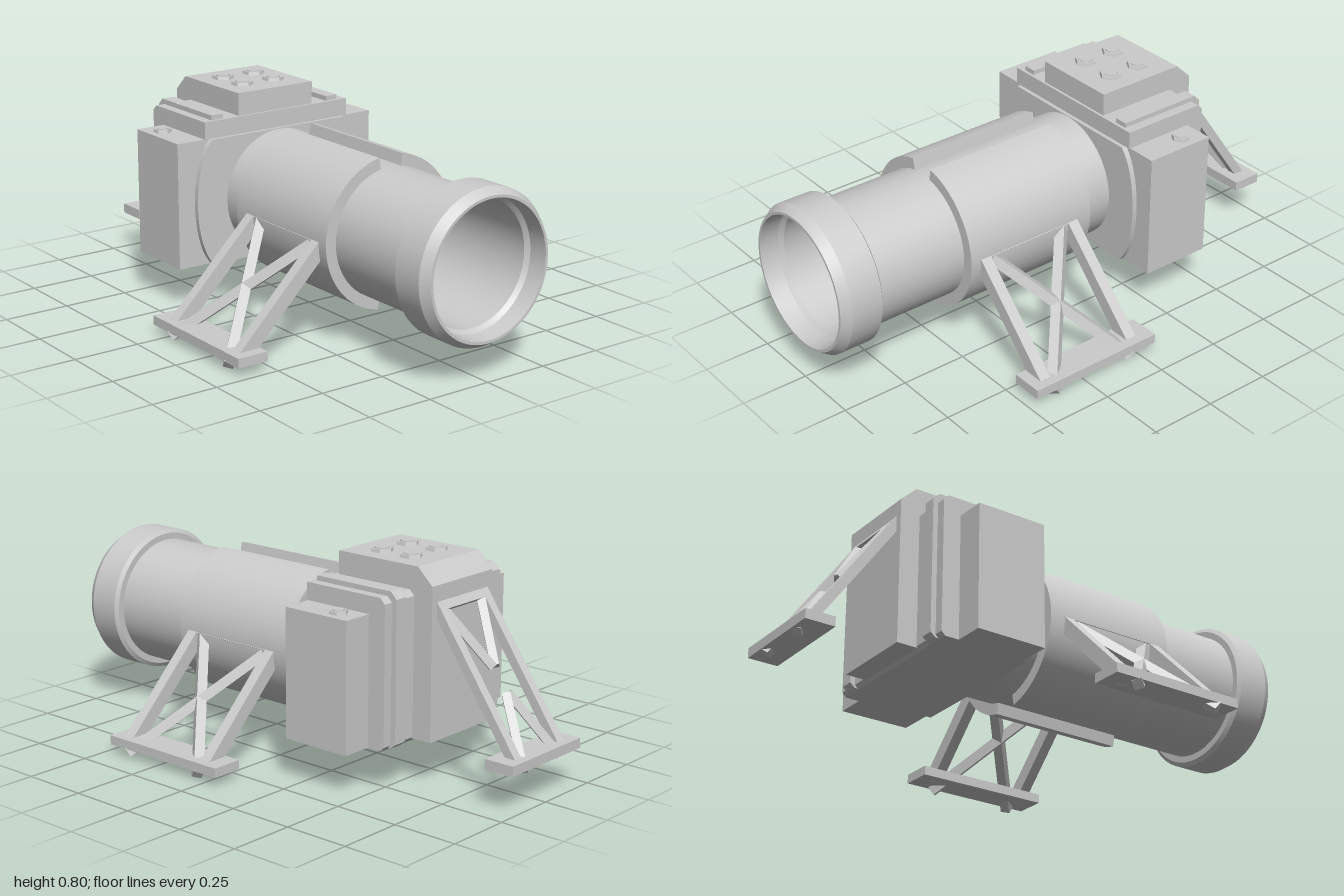
import * as THREE from 'three';
import { toCreasedNormals } from 'three/addons/utils/BufferGeometryUtils.js';

const grey = new THREE.MeshStandardMaterial({ color: 0xcccccc });
const greyDouble = new THREE.MeshStandardMaterial({ color: 0xcccccc, side: THREE.DoubleSide });
const AXIS_Y = 0.4;

export function createModel() {
  const model = new THREE.Group();
  model.name = 'mountedBarrel';

  const add = (name, geometry, x = 0, y = 0, z = 0, material = grey, parent = model) => {
    const mesh = new THREE.Mesh(geometry, material);
    mesh.name = name;
    mesh.position.set(x, y, z);
    parent.add(mesh);
    return mesh;
  };

  // Box given by its limits on each axis
  const block = (name, x0, x1, y0, y1, z0, z1, parent = model) =>
    add(name, new THREE.BoxGeometry(x1 - x0, y1 - y0, z1 - z0),
      (x0 + x1) / 2, (y0 + y1) / 2, (z0 + z1) / 2, grey, parent);

  // Side profile of [z, y] points extruded across x
  const slab = (name, x0, x1, points) => {
    const shape = new THREE.Shape(points.map(([z, y]) => new THREE.Vector2(-z, y)));
    const geometry = new THREE.ExtrudeGeometry(shape, { depth: x1 - x0, bevelEnabled: false });
    geometry.rotateY(Math.PI / 2);
    return add(name, geometry, x0);
  };

  // Square bar between two points; normal sets its roll
  const beam = (name, a, b, width, thick, normal, parent, roll = 0) => {
    const from = new THREE.Vector3(...a), to = new THREE.Vector3(...b);
    const dir = to.clone().sub(from);
    const mesh = add(name, new THREE.BoxGeometry(width, dir.length(), thick), 0, 0, 0, grey, parent);
    const up = dir.normalize();
    const side = up.clone().cross(new THREE.Vector3(...normal)).normalize();
    const out = side.clone().cross(up);
    mesh.quaternion.setFromRotationMatrix(new THREE.Matrix4().makeBasis(side, up, out));
    mesh.rotateY(roll);
    mesh.position.copy(from).add(to).multiplyScalar(0.5);
  };

  // Hollow barrel with its muzzle ring, profile as [radius, z]
  const profile = [
    [0.2375, -0.21], [0.2375, 0.835], [0.262, 0.835], [0.277, 0.845], [0.277, 0.965],
    [0.255, 1.0], [0.245, 1.0], [0.24, 0.93], [0.226, 0.915], [0.226, -0.21],
  ].map(([r, z]) => new THREE.Vector2(r, z));
  const barrel = toCreasedNormals(new THREE.LatheGeometry(profile, 64), 0.5);
  barrel.rotateX(Math.PI / 2);
  add('barrel', barrel, 0, AXIS_Y, 0, greyDouble);

  // Two curved sleeve shells with a slot between them
  const gap = 0.185;
  for (const s of [1, -1]) {
    const mid = s > 0 ? 0 : Math.PI;
    const a0 = mid - Math.PI / 2 + gap, a1 = mid + Math.PI / 2 - gap;
    const shape = new THREE.Shape();
    shape.absarc(0, 0, 0.28, a0, a1, false);
    shape.absarc(0, 0, 0.234, a1, a0, true);
    const shell = new THREE.ExtrudeGeometry(shape, { depth: 0.535, bevelEnabled: false, curveSegments: 32 });
    add(s > 0 ? 'leftSleeve' : 'rightSleeve', toCreasedNormals(shell, 0.5), 0, AXIS_Y, -0.06);
  }

  // Curved flange joining barrel and housing
  const flange = new THREE.Shape();
  flange.moveTo(-0.3, 0.165);
  flange.lineTo(0.3, 0.165);
  flange.bezierCurveTo(0.345, 0.21, 0.367, 0.31, 0.367, 0.4025);
  flange.bezierCurveTo(0.367, 0.495, 0.345, 0.595, 0.3, 0.64);
  flange.lineTo(-0.3, 0.64);
  flange.bezierCurveTo(-0.345, 0.595, -0.367, 0.495, -0.367, 0.4025);
  flange.bezierCurveTo(-0.367, 0.31, -0.345, 0.21, -0.3, 0.165);
  const bore = new THREE.Path();
  bore.absarc(0, AXIS_Y, 0.23, 0, Math.PI * 2, true);
  flange.holes.push(bore);
  const flangeGeometry = new THREE.ExtrudeGeometry(flange, { depth: 0.025, bevelEnabled: false, curveSegments: 24 });
  add('flange', toCreasedNormals(flangeGeometry, 0.5), 0, 0, -0.21);

  // Stepped housing: wide body, middle block, ribs and centre block
  block('housingBody', -0.437, 0.437, 0.165, 0.64, -0.48, -0.205);
  slab('housingMiddle', -0.322, 0.322, [
    [-0.2, 0.64], [-0.2, 0.705], [-0.53, 0.705], [-0.55, 0.685], [-0.55, 0.18], [-0.535, 0.165], [-0.21, 0.165], [-0.21, 0.64],
  ]);
  for (const s of [1, -1]) {
    slab('housingRib', s * 0.26 - 0.025, s * 0.26 + 0.025, [
      [-0.212, 0.4], [-0.212, 0.723], [-0.545, 0.723], [-0.57, 0.698], [-0.57, 0.185], [-0.55, 0.168], [-0.212, 0.168],
    ]);
  }
  slab('centreBlock', -0.167, 0.167, [
    [-0.21, 0.175], [-0.21, 0.79], [-0.565, 0.79], [-0.628, 0.73], [-0.628, 0.175],
  ]);

  // Hexagonal bolts with a raised core
  const bolt = (x, y, z, r) => {
    const group = new THREE.Group();
    group.name = 'bolt';
    group.position.set(x, y, z);
    model.add(group);
    const head = new THREE.CylinderGeometry(r * 0.9, r, 0.016, 6).toNonIndexed();
    head.computeVertexNormals();
    add('boltHead', head, 0, 0.004, 0, grey, group);
    add('boltCore', toCreasedNormals(new THREE.CylinderGeometry(r * 0.6, r * 0.6, 0.006, 20), 0.5), 0, 0.012, 0, grey, group);
  };
  for (const s of [1, -1]) {
    for (const z of [-0.325, -0.455]) bolt(s * 0.07, 0.79, z, 0.044);
    bolt(s * 0.38, 0.64, -0.395, 0.036);
  }

  // Side legs: two posts, a top rail, crossed braces and a foot plate
  for (const s of [1, -1]) {
    const leg = new THREE.Group();
    leg.name = s > 0 ? 'leftLeg' : 'rightLeg';
    model.add(leg);
    const normal = [s, 1, 0];
    const zs = [0.022, 0.412];
    for (const z of zs) beam('legPost', [s * 0.24, 0.406, z], [s * 0.59, 0.056, z], 0.042, 0.054, normal, leg);
    beam('legRail', [s * 0.248, 0.4, 0], [s * 0.248, 0.4, 0.433], 0.045, 0.05, normal, leg);
    for (const [za, zb] of [[0.05, 0.395], [0.385, 0.04]]) {
      beam('legBrace', [s * 0.25, 0.395, za], [s * 0.631, 0.025, zb], 0.036, 0.036, normal, leg, Math.PI / 4);
    }
    const x = s * 0.585;
    block('legFoot', x - 0.06, x + 0.06, 0.04, 0.075, -0.06, 0.475, leg);
  }

  // Rear leg: posts, rail, two open V braces and a foot plate
  const rear = new THREE.Group();
  rear.name = 'rearLeg';
  model.add(rear);
  const normal = [0, 0.58, -0.81];
  const at = (x, t) => [x, 0.66 - 0.52 * t, -0.615 - 0.365 * t];
  for (const s of [1, -1]) {
    beam('rearPost', at(s * 0.123, 0), at(s * 0.123, 0.93), 0.035, 0.035, normal, rear);
    beam('rearUpperBrace', at(s * 0.1, 0.05), at(s * 0.006, 0.42), 0.03, 0.03, normal, rear, Math.PI / 4);
    beam('rearLowerBrace', at(s * 0.006, 0.58), at(s * 0.105, 1), 0.03, 0.03, normal, rear, Math.PI / 4);
  }
  beam('rearRail', at(-0.14, 0.02), at(0.14, 0.02), 0.035, 0.035, normal, rear);
  block('rearFoot', -0.195, 0.195, 0.15, 0.187, -1, -0.885, rear);

  return model;
}
